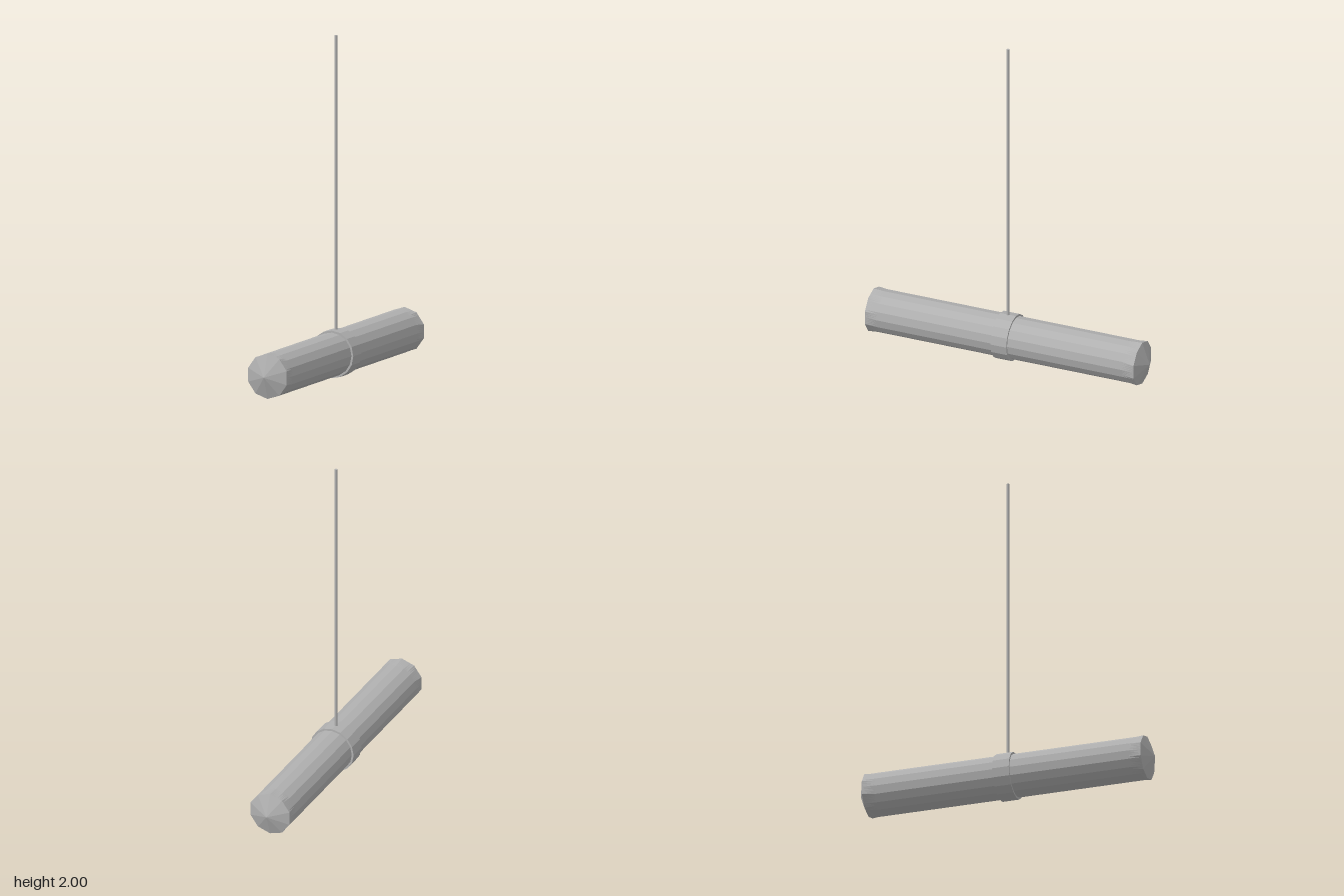
import * as THREE from 'three';

const CY = 0.14; // height of the tube axis

// Radius of a regular n-gon (corner at the top) at angle a from the top
function polygonRadius(n, r, a) {
  const step = (2 * Math.PI) / n;
  return (r * Math.cos(step / 2)) / Math.cos((a % step) - step / 2);
}

export function createModel() {
  const group = new THREE.Group();
  const grey = new THREE.MeshStandardMaterial({ color: 0xb0b0b0, flatShading: true });
  grey.name = 'grey';

  const add = (name, geometry, y) => {
    const mesh = new THREE.Mesh(geometry, grey);
    mesh.name = name;
    mesh.position.y = y;
    group.add(mesh);
    return mesh;
  };

  // Tube: sixteen-sided along its length, blending to ten-sided ends
  const sections = [
    [-0.845, 10, 0.132], [-0.77, 16, 0.127], [0.77, 16, 0.127], [0.845, 10, 0.132],
  ];
  const N = 80; // holds the corners of both polygons
  const positions = [];
  const index = [];
  sections.forEach(([z, sides, r], s) => {
    for (let i = 0; i < N; i++) {
      const a = (i / N) * 2 * Math.PI;
      const d = polygonRadius(sides, r, a + 1e-9);
      positions.push(d * Math.sin(a), d * Math.cos(a), z);
      if (s < sections.length - 1) {
        const p = s * N + i;
        const q = s * N + ((i + 1) % N);
        index.push(p, p + N, q, q, p + N, q + N);
      }
    }
  });
  const tube = new THREE.BufferGeometry();
  tube.setAttribute('position', new THREE.Float32BufferAttribute(positions, 3));
  tube.setIndex(index);
  tube.computeVertexNormals();
  add('tube', tube, CY);

  // Shallow ten-sided cones closing both ends
  for (const side of [1, -1]) {
    const cone = new THREE.ConeGeometry(0.132, 0.047, 10, 1, true);
    cone.translate(0, 0.8685, 0);
    cone.rotateX((side * Math.PI) / 2);
    add(side > 0 ? 'frontCap' : 'backCap', cone, CY);
  }

  // Collar around the middle
  const collar = new THREE.CylinderGeometry(0.139, 0.139, 0.1, 16);
  collar.rotateX(Math.PI / 2);
  add('collar', collar, CY);

  // Thin hanging rod
  add('rod', new THREE.CylinderGeometry(0.008, 0.008, 1.73, 8), 1.135);

  return group;
}
